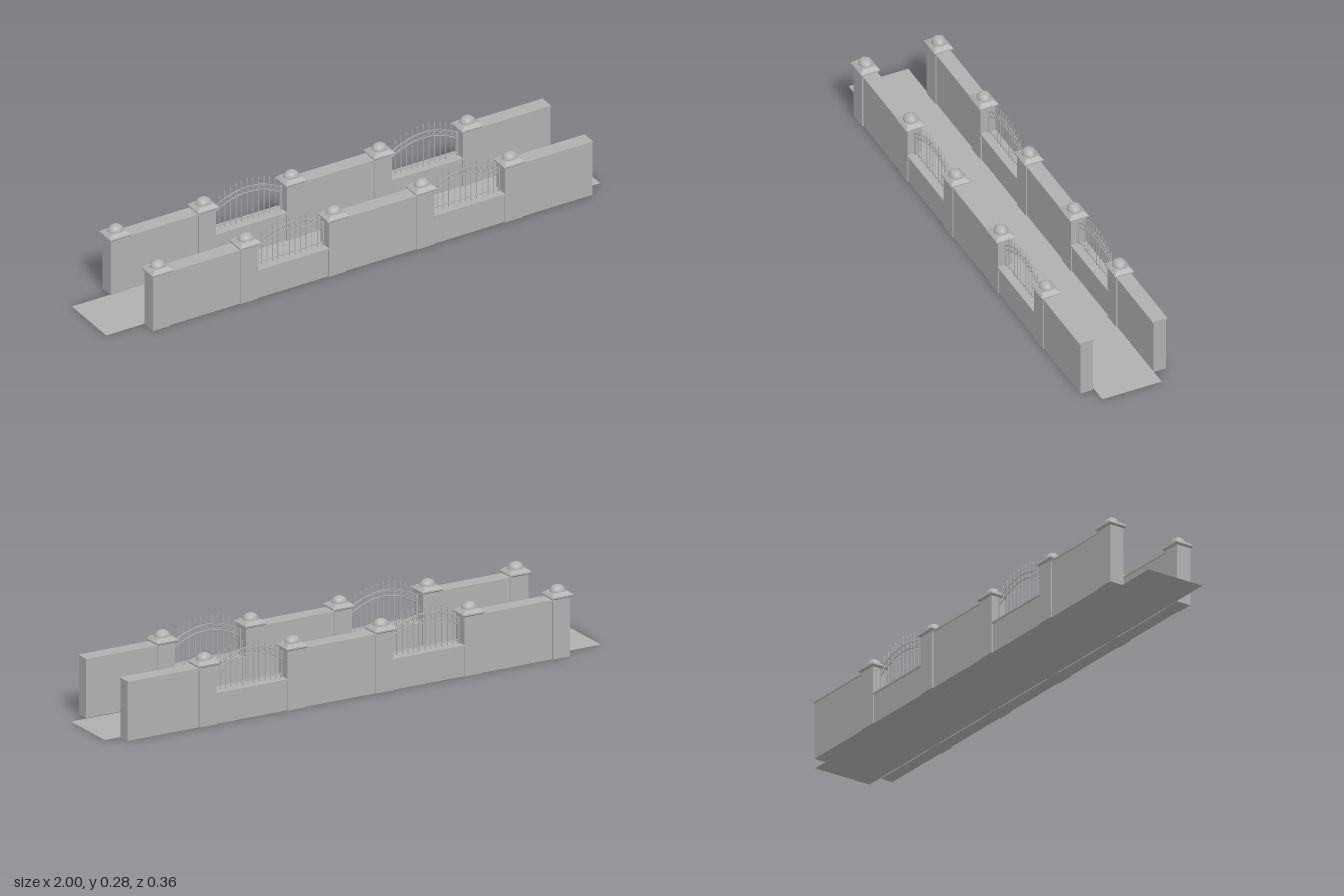
import * as THREE from 'three';

const stone = new THREE.MeshStandardMaterial({ color: 0xb0b0b0, side: THREE.DoubleSide });
stone.name = 'stone grey';

const PILLARS = [-0.81, -0.454, -0.098, 0.259, 0.615];
const WALL_END = 0.937;

function add(parent, name, geometry, x = 0, y = 0, z = 0) {
  const mesh = new THREE.Mesh(geometry, stone);
  mesh.name = name;
  mesh.position.set(x, y, z);
  parent.add(mesh);
  return mesh;
}

// Box given by its x range, y range and depth, centred on z = 0
function block(parent, name, x0, x1, y0, y1, depth) {
  return add(parent, name, new THREE.BoxGeometry(x1 - x0, y1 - y0, depth), (x0 + x1) / 2, (y0 + y1) / 2, 0);
}

// Square frustum with flat faces; half sizes are given in z, and x is stretched
function frustum(bottom, top, height) {
  const r = Math.SQRT2;
  const g = new THREE.CylinderGeometry(top * r, bottom * r, height, 4, 1).toNonIndexed();
  g.rotateY(Math.PI / 4);
  g.scale(1.18, 1, 1);
  g.computeVertexNormals();
  return g;
}

function makePillar(x) {
  const pillar = new THREE.Group();
  pillar.name = 'pillar';
  pillar.position.x = x;
  block(pillar, 'pillarShaft', -0.035, 0.035, 0, 0.221, 0.057);
  // Moulded cap: flare, slab, sloped roof
  add(pillar, 'capFlare', frustum(0.031, 0.0365, 0.005), 0, 0.2205);
  add(pillar, 'capSlab', frustum(0.0365, 0.0365, 0.005), 0, 0.2255);
  add(pillar, 'capSlope', frustum(0.0365, 0.0245, 0.011), 0, 0.2335);
  const dome = new THREE.SphereGeometry(0.0245, 24, 10, 0, Math.PI * 2, 0, Math.PI / 2);
  add(pillar, 'capDome', dome, 0, 0.238).scale.set(1.18, 0.98, 1);
  return pillar;
}

function makeWall(x0, x1, height, copingDepth) {
  const wall = new THREE.Group();
  wall.name = 'wallSection';
  block(wall, 'wallBody', x0, x1, 0, height - 0.006, 0.048);
  block(wall, 'wallCoping', x0, x1, height - 0.006, height, copingDepth);
  return wall;
}

function makeGate(x0, x1) {
  const gate = new THREE.Group();
  gate.name = 'ironGrille';
  const half = (x1 - x0) / 2 - 0.008;
  gate.position.x = (x0 + x1) / 2;
  const upper = (x) => 0.25 - 0.043 * (x / half) ** 2;
  const lower = (x) => upper(x) - 0.023;

  // Side posts and bottom rail
  for (const s of [-1, 1]) block(gate, 'sidePost', s * half - 0.0025, s * half + 0.0025, 0.115, 0.212, 0.005);
  block(gate, 'bottomRail', -half, half, 0.127, 0.131, 0.004);

  // Two arched rails
  for (const [name, f] of [['upperArch', upper], ['lowerArch', lower]]) {
    const points = [];
    for (let i = 0; i <= 8; i++) {
      const x = -half + (2 * half * i) / 8;
      points.push(new THREE.Vector3(x, f(x), 0));
    }
    add(gate, name, new THREE.TubeGeometry(new THREE.CatmullRomCurve3(points), 24, 0.002, 5));
  }

  // Upright bars with spear tips, and scroll rings between the arches
  const count = 11;
  const step = (2 * half) / (count + 1);
  for (let i = 0; i <= count; i++) {
    const x = -half + step * i;
    if (i > 0) {
      const top = upper(x) + 0.026;
      add(gate, 'bar', new THREE.CylinderGeometry(0.0016, 0.0016, top - 0.115, 6), x, (top + 0.115) / 2);
      add(gate, 'barCollar', new THREE.SphereGeometry(0.0026, 6, 4), x, top - 0.008);
      add(gate, 'spearTip', new THREE.ConeGeometry(0.0025, 0.01, 6), x, top + 0.004);
    }
    const mid = x + step / 2;
    add(gate, 'scrollRing', new THREE.TorusGeometry(0.008, 0.0013, 4, 14), mid, (upper(mid) + lower(mid)) / 2);
  }
  return gate;
}

function makeRow(z) {
  const row = new THREE.Group();
  row.name = 'wallRow';
  row.position.z = z;
  PILLARS.forEach((x, i) => {
    row.add(makePillar(x));
    const next = PILLARS[i + 1] ?? WALL_END + 0.034;
    const x0 = x + 0.034;
    const x1 = next - 0.034;
    if (i % 2 === 0) {
      row.add(makeWall(x0, x1, 0.218, 0.0565));
    } else {
      // Low parapet carrying an iron grille
      row.add(makeWall(x0, x1, 0.115, 0.059));
      row.add(makeGate(x0, x1));
    }
  });
  return row;
}

export function createModel() {
  const model = new THREE.Group();
  model.name = 'walledPath';
  for (const z of [0.1415, -0.1415]) model.add(makeRow(z));

  // Flat path in two slabs
  for (const [x0, x1] of [[-1, 0.424], [0.424, 1]]) {
    const slab = new THREE.PlaneGeometry(x1 - x0, 0.23);
    slab.rotateX(-Math.PI / 2);
    add(model, 'pathSlab', slab, (x0 + x1) / 2, 0.0005, -0.003);
  }
  return model;
}
